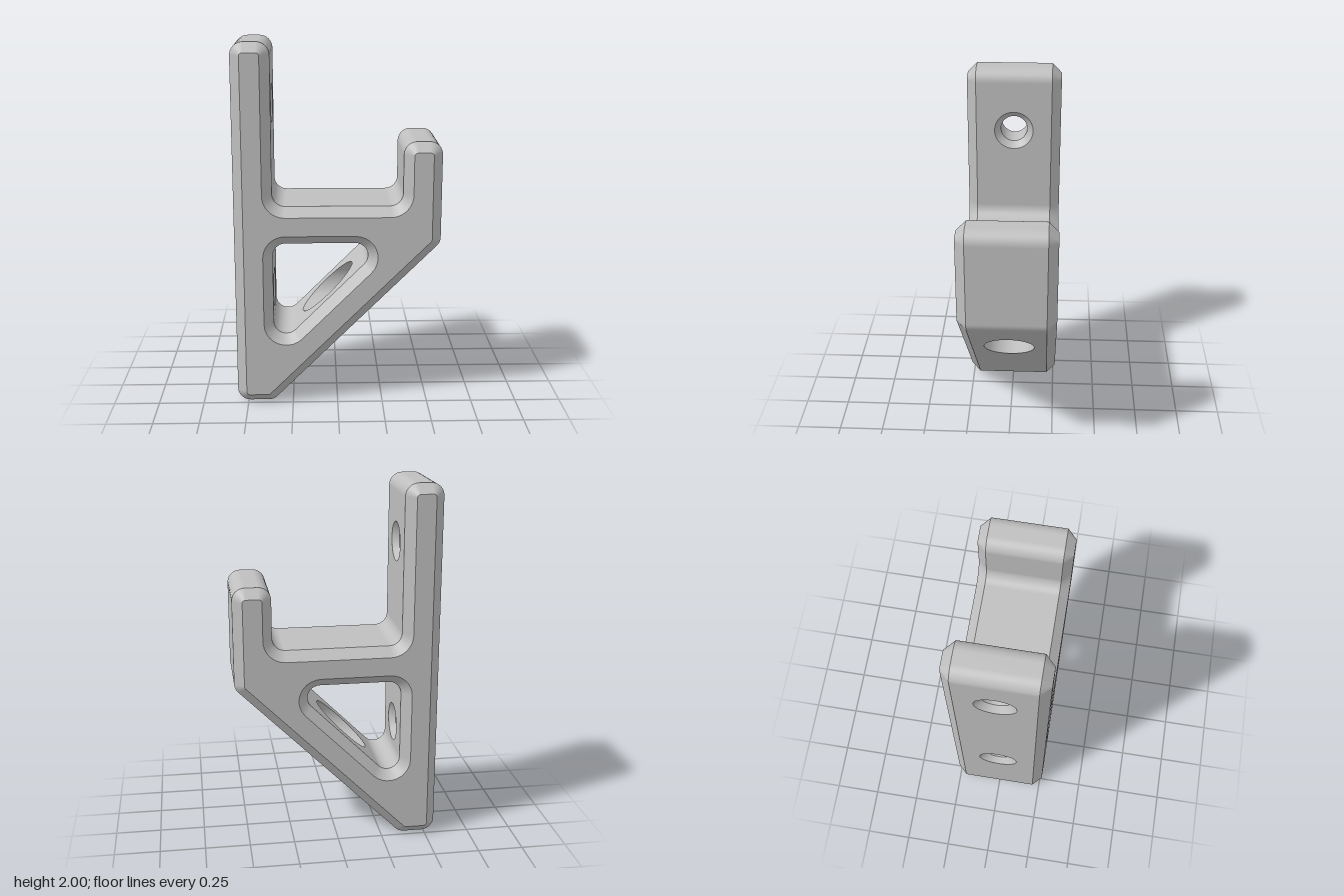
import * as THREE from 'three';

const DEPTH = 0.262, CHAMFER = 0.052, FILLET = 0.07;
const WALL = DEPTH - CHAMFER; // half depth of the straight walls
const BORE_R = 0.074, SINK_R = 0.108, ACCESS_R = 0.14;
const HIGH = 1.655, LOW = 0.6; // screw heights
const BACK = -0.56, PLATE = -0.353;
const OUTER_DIAG = 0.36, INNER_DIAG = 0.653; // strut faces lie on y = x + value

// Side profile, anticlockwise, and the triangular window, clockwise
const OUTLINE = [[BACK, 0], [-0.36, 0], [0.56, 0.92], [0.56, 1.475], [0.353, 1.475],
  [0.353, 1.125], [PLATE, 1.125], [PLATE, 2], [BACK, 2]];
const WINDOW = [[PLATE, 0.918], [0.918 - INNER_DIAG, 0.918], [PLATE, PLATE + INNER_DIAG]];

// Round openings [y, radius] by the profile edge they pierce
const OUTLINE_HOLES = { 1: [[LOW, ACCESS_R]], 6: [[HIGH, SINK_R]], 8: [[HIGH, SINK_R], [LOW, SINK_R]] };
const WINDOW_HOLES = { 1: [[LOW, ACCESS_R]], 2: [[LOW, SINK_R]] };

// Rounds every corner; each point keeps its normal so it can be inset exactly
function roundedLoop(corners) {
  const v = corners.map(c => new THREE.Vector2(...c)), n = v.length, steps = 10;
  const normal = i => {
    const d = v[(i + 1) % n].clone().sub(v[i]).normalize();
    return new THREE.Vector2(d.y, -d.x);
  };
  const loop = [];
  v.forEach((corner, i) => {
    const n0 = normal((i + n - 1) % n), n1 = normal(i);
    const turn = Math.atan2(n0.cross(n1), n0.dot(n1)), s = Math.sign(turn);
    const centre = corner.clone().addScaledVector(n0.clone().add(n1), -s * FILLET / (1 + n0.dot(n1)));
    for (let k = 0; k <= steps; k++) {
      const nor = n0.clone().rotateAround(new THREE.Vector2(), turn * k / steps);
      const p = centre.clone().addScaledVector(nor, s * FILLET);
      loop.push({ p, nor, inset: p.clone().addScaledVector(nor, -CHAMFER), edge: k === steps ? i : -1 });
    }
  });
  return loop;
}

// Collects quads with smooth normals
function quadBuilder() {
  const pos = [], nor = [];
  return {
    add(corners, normals) {
      for (const i of [0, 1, 2, 0, 2, 3]) { pos.push(...corners[i]); nor.push(...normals[i]); }
    },
    build() {
      const g = new THREE.BufferGeometry();
      g.setAttribute('position', new THREE.Float32BufferAttribute(pos, 3));
      g.setAttribute('normal', new THREE.Float32BufferAttribute(nor, 3));
      return g;
    },
  };
}

// Flat wall between two profile points, pierced by round openings along x
function piercedPanel(p, q, holes) {
  const length = p.distanceTo(q), d = q.clone().sub(p).normalize();
  const shape = new THREE.Shape([[0, -WALL], [length, -WALL], [length, WALL], [0, WALL]]
    .map(c => new THREE.Vector2(...c)));
  for (const [y, r] of holes) {
    shape.holes.push(new THREE.Path().absellipse((y - p.y) / d.y, 0, r / Math.abs(d.y), r, 0, Math.PI * 2, true));
  }
  const m = new THREE.Matrix4().makeBasis(new THREE.Vector3(d.x, d.y, 0),
    new THREE.Vector3(0, 0, 1), new THREE.Vector3(d.y, -d.x, 0)).setPosition(p.x, p.y, 0);
  return new THREE.ShapeGeometry(shape, 32).applyMatrix4(m);
}

export function createModel() {
  const model = new THREE.Group();
  model.name = 'wallHook';
  const grey = new THREE.MeshStandardMaterial({ color: 0xbfbfbf });
  grey.name = 'grey';
  const add = (name, geometry) => {
    const mesh = new THREE.Mesh(geometry, grey);
    mesh.name = name;
    model.add(mesh);
  };

  const outline = roundedLoop(OUTLINE), windowLoop = roundedLoop(WINDOW);

  // Walls and chamfers around the outline and the window
  for (const [name, loop, holes] of [['outer', outline, OUTLINE_HOLES], ['window', windowLoop, WINDOW_HOLES]]) {
    const walls = quadBuilder(), chamfers = quadBuilder();
    loop.forEach((a, i) => {
      const b = loop[(i + 1) % loop.length];
      const at = (v, z) => [v.x, v.y, z];
      if (holes[a.edge]) {
        add(name + 'PiercedWall', piercedPanel(a.p, b.p, holes[a.edge]));
      } else {
        const na = at(a.nor, 0), nb = at(b.nor, 0);
        walls.add([at(a.p, -WALL), at(b.p, -WALL), at(b.p, WALL), at(a.p, WALL)], [na, nb, nb, na]);
      }
      const slope = (v, s) => [v.x * Math.SQRT1_2, v.y * Math.SQRT1_2, s * Math.SQRT1_2];
      const fa = slope(a.nor, 1), fb = slope(b.nor, 1), ra = slope(a.nor, -1), rb = slope(b.nor, -1);
      chamfers.add([at(a.p, WALL), at(b.p, WALL), at(b.inset, DEPTH), at(a.inset, DEPTH)], [fa, fb, fb, fa]);
      chamfers.add([at(a.inset, -DEPTH), at(b.inset, -DEPTH), at(b.p, -WALL), at(a.p, -WALL)], [ra, rb, rb, ra]);
    });
    add(name + 'Walls', walls.build());
    add(name + 'Chamfers', chamfers.build());
  }

  // Flat side faces
  for (const side of [1, -1]) {
    const points = loop => loop.map(o => new THREE.Vector2(o.inset.x * side, o.inset.y));
    const shape = new THREE.Shape(points(outline));
    shape.holes.push(new THREE.Path(points(windowLoop)));
    const face = new THREE.ShapeGeometry(shape).translate(0, 0, DEPTH);
    if (side < 0) face.rotateY(Math.PI);
    add(side > 0 ? 'frontFace' : 'rearFace', face);
  }

  // Screw holes, countersunk at both ends
  const sink = SINK_R - BORE_R;
  const bore = [[SINK_R, PLATE], [BORE_R, PLATE - sink], [BORE_R, BACK + sink], [SINK_R, BACK]]
    .map(c => new THREE.Vector2(...c));
  for (const y of [HIGH, LOW]) {
    for (let i = 0; i < 3; i++) {
      add('screwHole', new THREE.LatheGeometry([bore[i], bore[i + 1]], 64)
        .rotateZ(-Math.PI / 2).translate(0, y, 0));
    }
  }

  // Screwdriver access hole through the diagonal strut
  const access = quadBuilder(), sides = 64;
  for (let i = 0; i < sides; i++) {
    const [t, u] = [i, i + 1].map(k => k / sides * Math.PI * 2);
    const point = (a, offset) => {
      const y = LOW + ACCESS_R * Math.cos(a);
      return [y - offset, y, ACCESS_R * Math.sin(a)];
    };
    const inward = a => [0, -Math.cos(a), -Math.sin(a)];
    access.add([point(t, INNER_DIAG), point(t, OUTER_DIAG), point(u, OUTER_DIAG), point(u, INNER_DIAG)],
      [inward(t), inward(t), inward(u), inward(u)]);
  }
  add('accessHole', access.build());

  return model;
}
